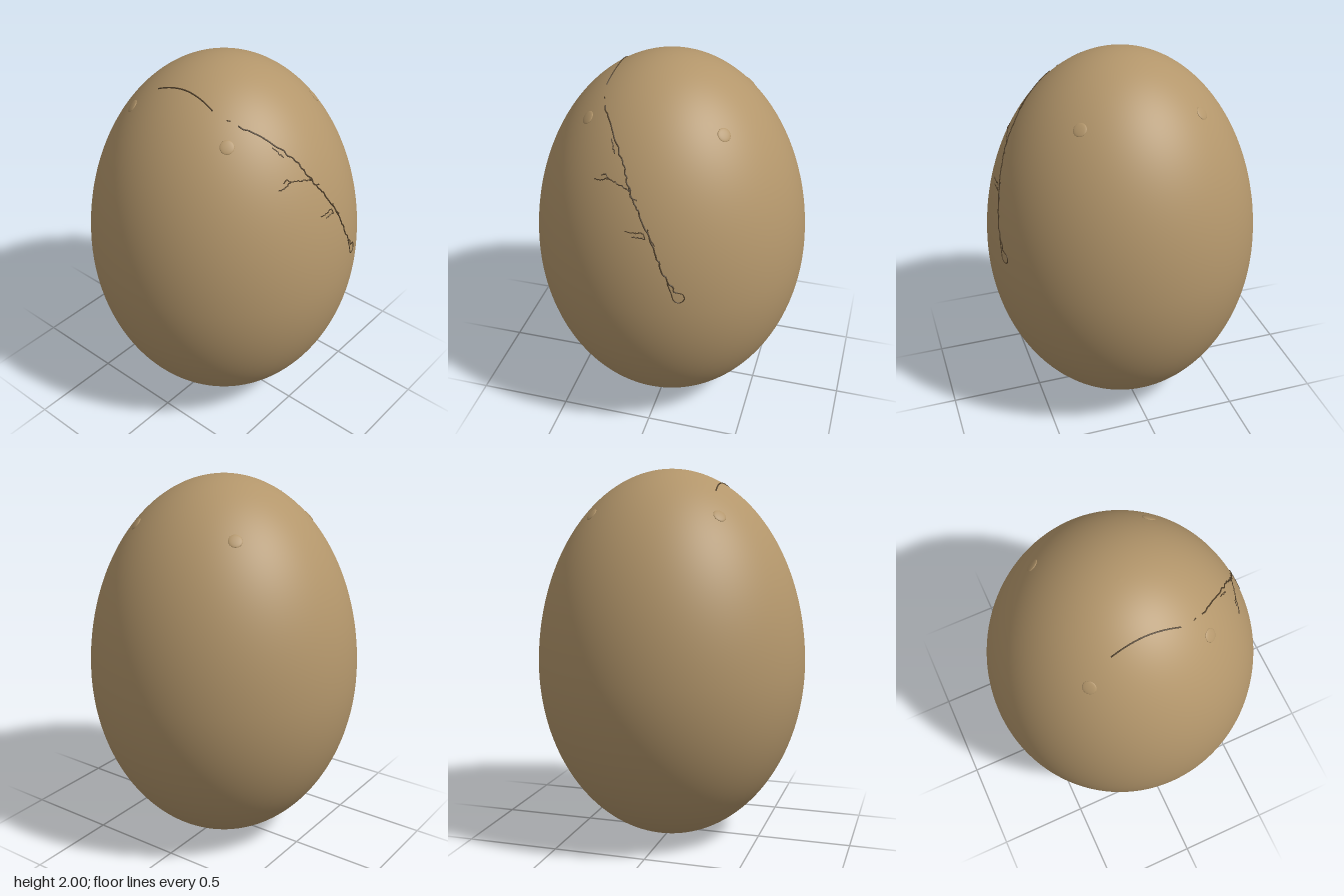
import * as THREE from 'three';

const WIDE = 0.727, MID = 0.95, UP = 1.05; // widest radius, its height, height above it

// Radius of the egg at height y: two half ellipses joined at the widest ring
const radiusAt = (y) => {
  const t = (y - MID) / (y > MID ? UP : MID);
  return WIDE * Math.sqrt(Math.max(0, 1 - t * t));
};
// Surface points found from the front (x, y) or from the top (x, z)
const onFront = (x, y) => new THREE.Vector3(x, y, Math.sqrt(Math.max(0, radiusAt(y) ** 2 - x * x)));
const onTop = (x, z) => new THREE.Vector3(x, MID + UP * Math.sqrt(1 - (x * x + z * z) / WIDE ** 2), z);
const normalAt = (p) => {
  const b = p.y > MID ? UP : MID;
  return new THREE.Vector3(p.x / WIDE ** 2, (p.y - MID) / b ** 2, p.z / WIDE ** 2).normalize();
};

export function createModel() {
  const shellMat = new THREE.MeshStandardMaterial({ color: 0xb3966b });
  shellMat.name = 'shell tan';
  const crackMat = new THREE.MeshStandardMaterial({ color: 0x4f3f2a });
  crackMat.name = 'crack brown';

  const group = new THREE.Group();
  group.name = 'egg';
  const add = (name, geometry, material) => {
    const mesh = new THREE.Mesh(geometry, material);
    mesh.name = name;
    group.add(mesh);
    return mesh;
  };

  // Shell
  const profile = [];
  for (let i = 0; i <= 96; i++) {
    const a = -Math.PI / 2 + (i / 96) * Math.PI;
    profile.push(new THREE.Vector2(i % 96 ? WIDE * Math.cos(a) : 0, MID + (a > 0 ? UP : MID) * Math.sin(a)));
  }
  add('shell', new THREE.LatheGeometry(profile, 128), shellMat);

  // Cracks: hairline tubes half sunk in the shell, with a small seeded wobble
  let seed = 7;
  const random = () => (seed = (seed * 16807) % 2147483647) / 2147483647 - 0.5;
  const crack = (name, coords, project, radius = 0.0035, wobble = 0) => {
    const rough = new THREE.CatmullRomCurve3(coords.map(([x, y]) => new THREE.Vector3(x, y, 0)));
    const count = coords.length * 6;
    const points = rough.getPoints(count).map((p, i) => {
      const w = i > 0 && i < count ? wobble : 0;
      return project(p.x + random() * w, p.y + random() * w);
    });
    const path = new THREE.CatmullRomCurve3(points);
    add(name, new THREE.TubeGeometry(path, count * 2, radius, 6), crackMat);
  };

  crack('mainCrack', [[-0.25, 1.835], [-0.175, 1.765], [-0.09, 1.65], [-0.04, 1.55], [0.015, 1.46],
    [0.07, 1.355], [0.127, 1.23], [0.18, 1.12], [0.215, 1.08]], onFront, 0.004, 0.012);
  crack('crackEndLoop', [[0.165, 1.135], [0.185, 1.08], [0.2, 1.035], [0.225, 1.022], [0.247, 1.04],
    [0.24, 1.07], [0.215, 1.08]], onFront, 0.003);
  const twigs = [
    [[-0.045, 1.555], [-0.1, 1.575], [-0.16, 1.585], [-0.19, 1.575], [-0.235, 1.565]],
    [[-0.16, 1.585], [-0.18, 1.6], [-0.2, 1.59]],
    [[-0.05, 1.375], [0, 1.375], [0.035, 1.38], [0.05, 1.35]],
    [[-0.015, 1.355], [0.03, 1.355], [0.05, 1.35]],
    [[0.06, 1.4], [0.07, 1.36], [0.1, 1.325]],
    [[-0.05, 1.57], [-0.03, 1.53], [-0.005, 1.52]],
    [[-0.175, 1.74], [-0.15, 1.7], [-0.145, 1.69]],
  ];
  twigs.forEach((t, i) => crack(`crackTwig${i + 1}`, t, onFront, 0.0028, 0.006));
  crack('crownCrack', [[-0.285, -0.175], [-0.277, -0.1], [-0.272, 0], [-0.277, 0.1], [-0.285, 0.175]], onTop, 0.004);
  crack('crownCrackTip', [[-0.272, 0.25], [-0.262, 0.265]], onTop, 0.003);

  // Four shallow round bumps around the crown
  for (const sx of [-1, 1]) for (const sz of [-1, 1]) {
    const p = onTop(sx * 0.34, sz * 0.31);
    const bump = add('crownBump', new THREE.SphereGeometry(0.035, 24, 16), shellMat);
    bump.scale.set(1, 0.18, 1);
    bump.position.copy(p);
    bump.quaternion.setFromUnitVectors(new THREE.Vector3(0, 1, 0), normalAt(p));
  }
  return group;
}
